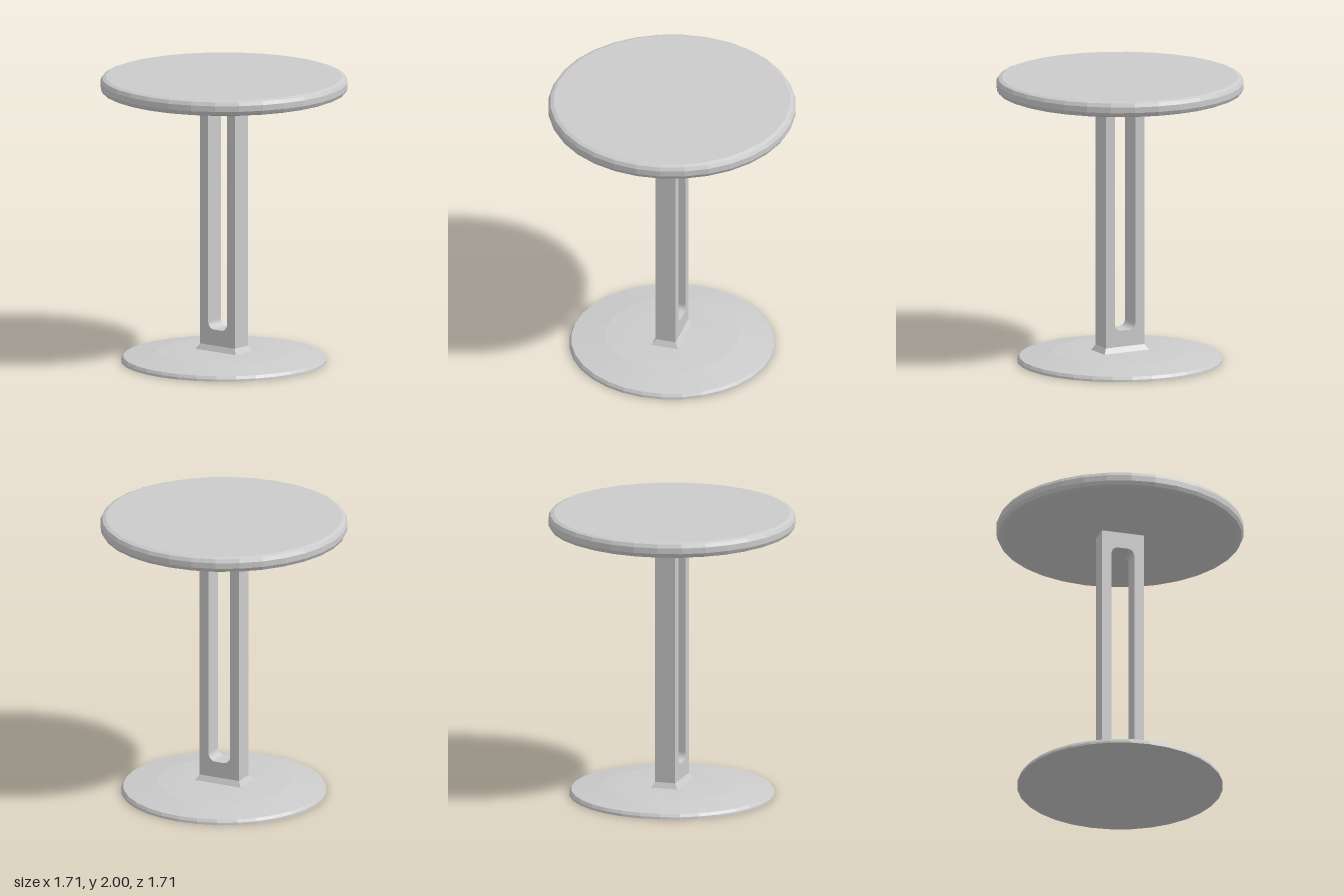
import * as THREE from 'three';

const material = new THREE.MeshStandardMaterial({ color: 0xcccccc, flatShading: true });

function part(name, geometry) {
  const mesh = new THREE.Mesh(geometry, material);
  mesh.name = name;
  return mesh;
}

// Round part turned from a profile of [radius, height] pairs, bottom to top
function turned(name, profile) {
  return part(name, new THREE.LatheGeometry(profile.map(([r, y]) => new THREE.Vector2(r, y)), 32));
}

// Rounded rectangle centred on x = 0, as a path for the slot
function slotPath(halfWidth, bottom, top, r) {
  const p = new THREE.Path();
  p.absarc(halfWidth - r, top - r, r, 0, Math.PI / 2);
  p.absarc(-halfWidth + r, top - r, r, Math.PI / 2, Math.PI);
  p.absarc(-halfWidth + r, bottom + r, r, Math.PI, Math.PI * 1.5);
  p.absarc(halfWidth - r, bottom + r, r, Math.PI * 1.5, Math.PI * 2);
  p.closePath();
  return p;
}

export function createModel() {
  const table = new THREE.Group();
  table.name = 'pedestalTable';

  // Round top with a softened rim
  table.add(turned('tableTop', [
    [0, 1.89], [0.815, 1.89], [0.84, 1.9], [0.853, 1.925],
    [0.853, 1.965], [0.84, 1.99], [0.815, 2], [0, 2],
  ]));

  // Shallow domed foot
  table.add(turned('base', [
    [0, 0], [0.71, 0], [0.708, 0.015], [0.695, 0.035], [0.46, 0.07], [0.31, 0.077], [0, 0.078],
  ]));

  // Slotted column
  const w = 0.152, d = 0.072, y0 = 0.115, y1 = 1.89;
  const outline = new THREE.Shape([
    new THREE.Vector2(-w, y0), new THREE.Vector2(w, y0),
    new THREE.Vector2(w, y1), new THREE.Vector2(-w, y1),
  ]);
  outline.holes.push(slotPath(0.082, 0.227, 1.775, 0.05));
  const column = new THREE.ExtrudeGeometry(outline, { depth: 2 * d, bevelEnabled: false, curveSegments: 5 });
  column.translate(0, 0, -d);
  table.add(part('column', column));

  // Flared collar: a box whose lower corners are pushed outward
  const collar = new THREE.BoxGeometry(2 * w, 0.045, 2 * d);
  const pos = collar.attributes.position;
  for (let i = 0; i < pos.count; i++) {
    if (pos.getY(i) > 0) continue;
    pos.setX(i, pos.getX(i) + Math.sign(pos.getX(i)) * 0.028);
    pos.setZ(i, pos.getZ(i) + Math.sign(pos.getZ(i)) * 0.028);
  }
  collar.translate(0, y0 - 0.0225, 0);
  collar.computeVertexNormals();
  table.add(part('collar', collar));

  return table;
}
